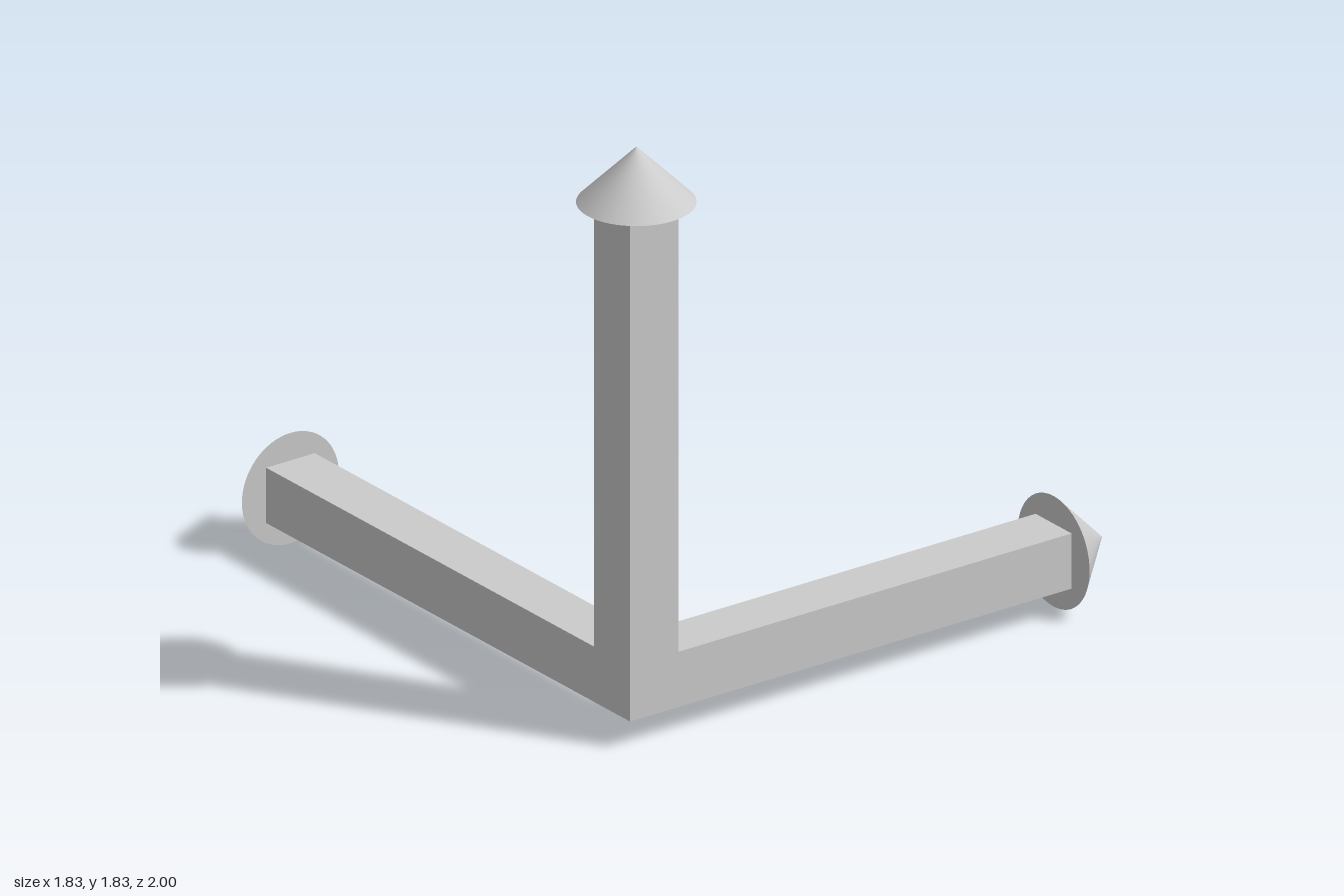
import * as THREE from 'three';

export function createModel() {
  const model = new THREE.Group();
  const material = new THREE.MeshStandardMaterial({ color: 0xcccccc });
  const u = 2 / 11.6; // shaft width, cone radius and cone height
  const up = new THREE.Vector3(0, 1, 0);

  // An arrow along +y from start to base, then turned to its direction
  function arrow(name, direction, start, base) {
    const group = new THREE.Group();
    group.name = name;

    const shaft = new THREE.Mesh(new THREE.BoxGeometry(u, base - start, u), material);
    shaft.name = name + 'Shaft';
    shaft.position.y = (start + base) / 2;

    const head = new THREE.Mesh(new THREE.ConeGeometry(u, u, 64), material);
    head.name = name + 'Head';
    head.position.y = base + u / 2;

    group.add(shaft, head);
    group.quaternion.setFromUnitVectors(up, direction);
    model.add(group);
  }

  // The upright shaft fills the shared corner; the other two start at its sides
  arrow('uprightArrow', up, -u / 2, 8.6 * u);
  arrow('sideArrow', new THREE.Vector3(1, 0, 0), u / 2, 8.6 * u);
  arrow('backArrow', new THREE.Vector3(0, 0, -1), u / 2, 9.6 * u);

  // Place the shared corner
  model.position.set(-4.3 * u, u, 4.8 * u);
  const root = new THREE.Group();
  root.name = 'axisArrows';
  root.add(model);
  return root;
}
